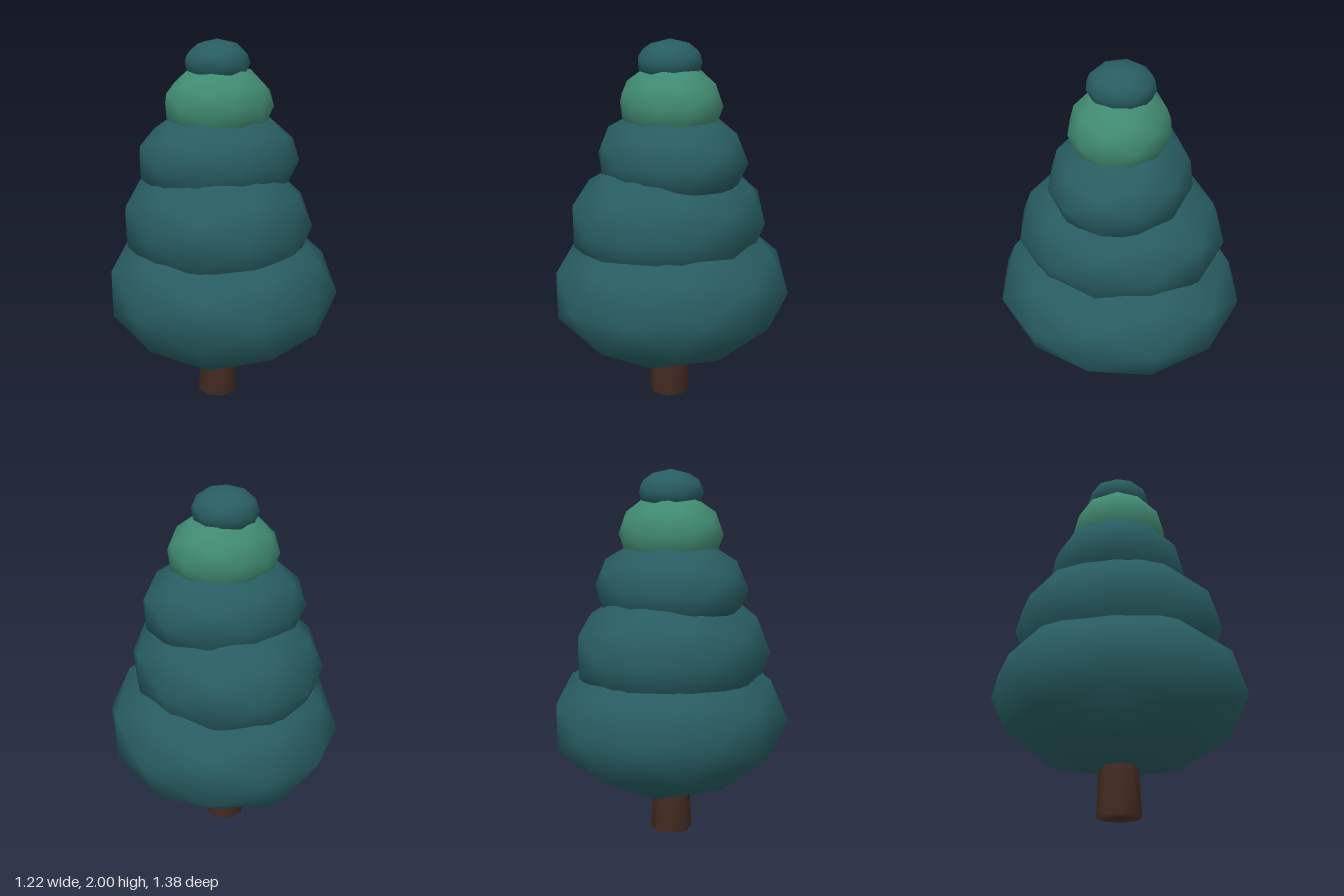
import * as THREE from 'three';
import { mergeVertices } from 'three/addons/utils/BufferGeometryUtils.js';

const material = (name, color) => {
  const m = new THREE.MeshStandardMaterial({ color });
  m.name = name;
  return m;
};

// Weld all corners so the low-poly form shades smoothly
function smooth(geometry) {
  geometry.deleteAttribute('uv');
  geometry.deleteAttribute('normal');
  const welded = mergeVertices(geometry, 1e-4);
  welded.computeVertexNormals();
  return welded;
}

// Squashed icosphere with its five-fold axis running front to back
function foliage(rx, ry, rz) {
  const g = new THREE.IcosahedronGeometry(1, 1);
  g.rotateX(Math.atan(2 / (1 + Math.sqrt(5))));
  g.rotateZ(Math.PI / 2);
  g.scale(rx, ry, rz);
  return smooth(g);
}

export function createModel() {
  const tree = new THREE.Group();
  tree.name = 'tree';
  const darkGreen = material('dark teal foliage', 0x285d61);
  const lightGreen = material('light green foliage', 0x418a72);
  const bark = material('brown bark', 0x452c22);

  const add = (name, geometry, mat, x, y, z) => {
    const mesh = new THREE.Mesh(geometry, mat);
    mesh.name = name;
    mesh.position.set(x, y, z);
    tree.add(mesh);
  };

  // Trunk, slightly tapered, sunk into the lowest tier
  add('trunk', smooth(new THREE.CylinderGeometry(0.093, 0.115, 0.45, 8)), bark, -0.015, 0.225, 0);

  // Foliage tiers, bottom to top: name, radii, centre, material
  const tiers = [
    ['bottomTier', [0.643, 0.425, 0.69], [0, 0.652, 0], darkGreen],
    ['lowerTier', [0.52, 0.372, 0.573], [-0.025, 1.03, -0.003], darkGreen],
    ['middleTier', [0.447, 0.285, 0.382], [-0.01, 1.372, -0.008], darkGreen],
    ['upperTier', [0.297, 0.222, 0.267], [-0.008, 1.66, -0.003], lightGreen],
    ['treeTip', [0.174, 0.12, 0.179], [-0.016, 1.88, -0.006], darkGreen],
  ];
  for (const [name, radii, centre, mat] of tiers) add(name, foliage(...radii), mat, ...centre);

  return tree;
}
